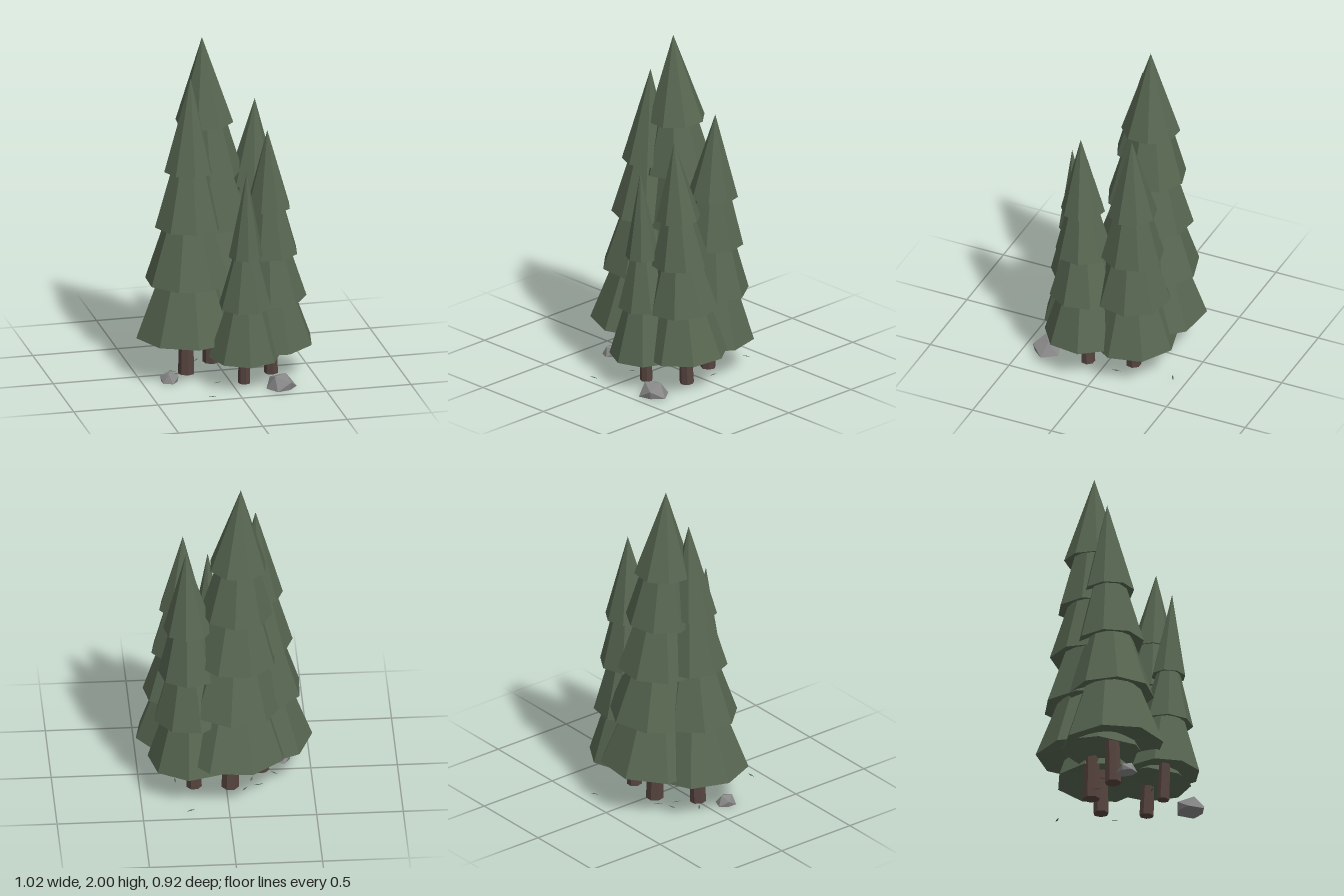
import * as THREE from 'three';

const foliage = new THREE.MeshStandardMaterial({ color: 0x576651 });
foliage.name = 'pine green';
const bark = new THREE.MeshStandardMaterial({ color: 0x56443f });
bark.name = 'bark brown';
const stone = new THREE.MeshStandardMaterial({ color: 0x878787 });
stone.name = 'stone grey';

// Faceted mesh: every face gets its own normal
function facet(geometry, material, name) {
  const g = geometry.index ? geometry.toNonIndexed() : geometry;
  g.computeVertexNormals();
  const mesh = new THREE.Mesh(g, material);
  mesh.name = name;
  return mesh;
}

// Eight-sided skirt with a hollowed underside
function makeSkirt(radius, topRadius, height, hollow) {
  const profile = [[0, hollow], [radius, 0], [topRadius, height]];
  if (topRadius > 0) profile.push([0, height]);
  const points = profile.map(([r, y]) => new THREE.Vector2(r, y));
  return facet(new THREE.LatheGeometry(points, 8), foliage, 'foliageTier');
}

// Base and tip are [x, z]; tiers run from the bottom up, evenly spaced and narrowing
function makeTree(t) {
  const tree = new THREE.Group();
  tree.name = t.name;
  const step = (t.high - t.low) / (t.tiers - 1);
  const radius = (i) => t.wide + ((t.slim - t.wide) * i) / (t.tiers - 1);

  const trunkHeight = t.low + 0.15;
  const trunk = facet(new THREE.CylinderGeometry(t.trunk * 0.85, t.trunk, trunkHeight, 7), bark, 'trunk');
  trunk.position.y = trunkHeight / 2 + 0.002;
  tree.add(trunk);

  for (let i = 0; i < t.tiers; i++) {
    const top = i === t.tiers - 1;
    const bottomY = t.low + i * step;
    // Lower skirts narrow to well inside the next rim, then run on up into its hollow
    const slope = top ? 0 : (radius(i) - radius(i + 1) * 0.73) / step;
    const height = top ? t.height - bottomY : step + 0.08;
    const topRadius = top ? 0 : radius(i) - slope * height;
    const tier = makeSkirt(radius(i), topRadius, height, radius(i) * 0.3);
    tier.position.y = bottomY;
    tier.rotation.y = THREE.MathUtils.degToRad(t.turn + (i % 2 && !top ? 20 : 0));
    tree.add(tier);
  }

  // Slight lean from base to tip
  const axis = new THREE.Vector3(t.tip[0] - t.base[0], t.height, t.tip[1] - t.base[1]);
  tree.position.set(t.base[0], 0, t.base[1]);
  tree.quaternion.setFromUnitVectors(new THREE.Vector3(0, 1, 0), axis.normalize());
  return tree;
}

// Squat boulder with large facets and its underside flattened on the ground
function makeRock(x, z, rx, height, rz, turn) {
  const g = new THREE.IcosahedronGeometry(1, 0);
  const p = g.attributes.position;
  for (let i = 0; i < p.count; i++) {
    const a = p.getX(i), b = p.getY(i), c = p.getZ(i);
    const k = 1 + 0.07 * Math.sin(a * 5 + b * 3 + c * 7);
    p.setXYZ(i, a * k * rx, Math.max(0, (b / 0.85) * height), c * k * rz);
  }
  const rock = facet(g, stone, 'rock');
  rock.position.set(x, 0, z);
  rock.rotation.y = turn;
  return rock;
}

export function createModel() {
  const model = new THREE.Group();
  model.name = 'pineGrove';

  const trees = [
    { name: 'tallTree', base: [-0.022, -0.16], tip: [-0.087, -0.128], height: 2, tiers: 5,
      low: 0.26, high: 1.485, wide: 0.325, slim: 0.171, turn: 18.7, trunk: 0.052 },
    { name: 'rightTree', base: [-0.213, 0.008], tip: [-0.178, -0.034], height: 1.787, tiers: 4,
      low: 0.232, high: 1.228, wide: 0.3, slim: 0.148, turn: 0, trunk: 0.048 },
    { name: 'backLeftTree', base: [0.184, -0.145], tip: [0.233, -0.155], height: 1.59, tiers: 4,
      low: 0.203, high: 1.085, wide: 0.263, slim: 0.146, turn: 36, trunk: 0.045 },
    { name: 'frontLeftTree', base: [0.268, 0.106], tip: [0.228, 0.171], height: 1.508, tiers: 4,
      low: 0.2, high: 1.035, wide: 0.25, slim: 0.13, turn: 12, trunk: 0.042 },
    { name: 'smallTree', base: [0.074, 0.243], tip: [0.076, 0.296], height: 1.305, tiers: 3,
      low: 0.172, high: 0.785, wide: 0.21, slim: 0.1, turn: 41, trunk: 0.037 },
  ];
  trees.forEach((t) => model.add(makeTree(t)));

  model.add(makeRock(0.258, 0.37, 0.09, 0.077, 0.092, 0.6));
  model.add(makeRock(-0.34, 0.117, 0.062, 0.054, 0.06, 1.2));

  // Fallen needle sprigs: x, z, heading
  const sprigs = [
    [-0.16, 0.44, 0.05], [0.22, -0.41, 0.5], [-0.076, 0.21, 0.4], [0.29, -0.083, 1.6],
    [-0.105, -0.2, 0.9], [-0.186, -0.16, 0.2], [-0.285, -0.04, 2.4], [-0.15, -0.1, 1.3],
  ];
  for (const [x, z, heading] of sprigs) {
    const sprig = facet(new THREE.OctahedronGeometry(1), foliage, 'fallenSprig');
    sprig.scale.set(0.029, 0.0015, 0.006);
    sprig.position.set(x, 0.003, z);
    sprig.rotation.y = heading;
    model.add(sprig);
  }
  return model;
}
